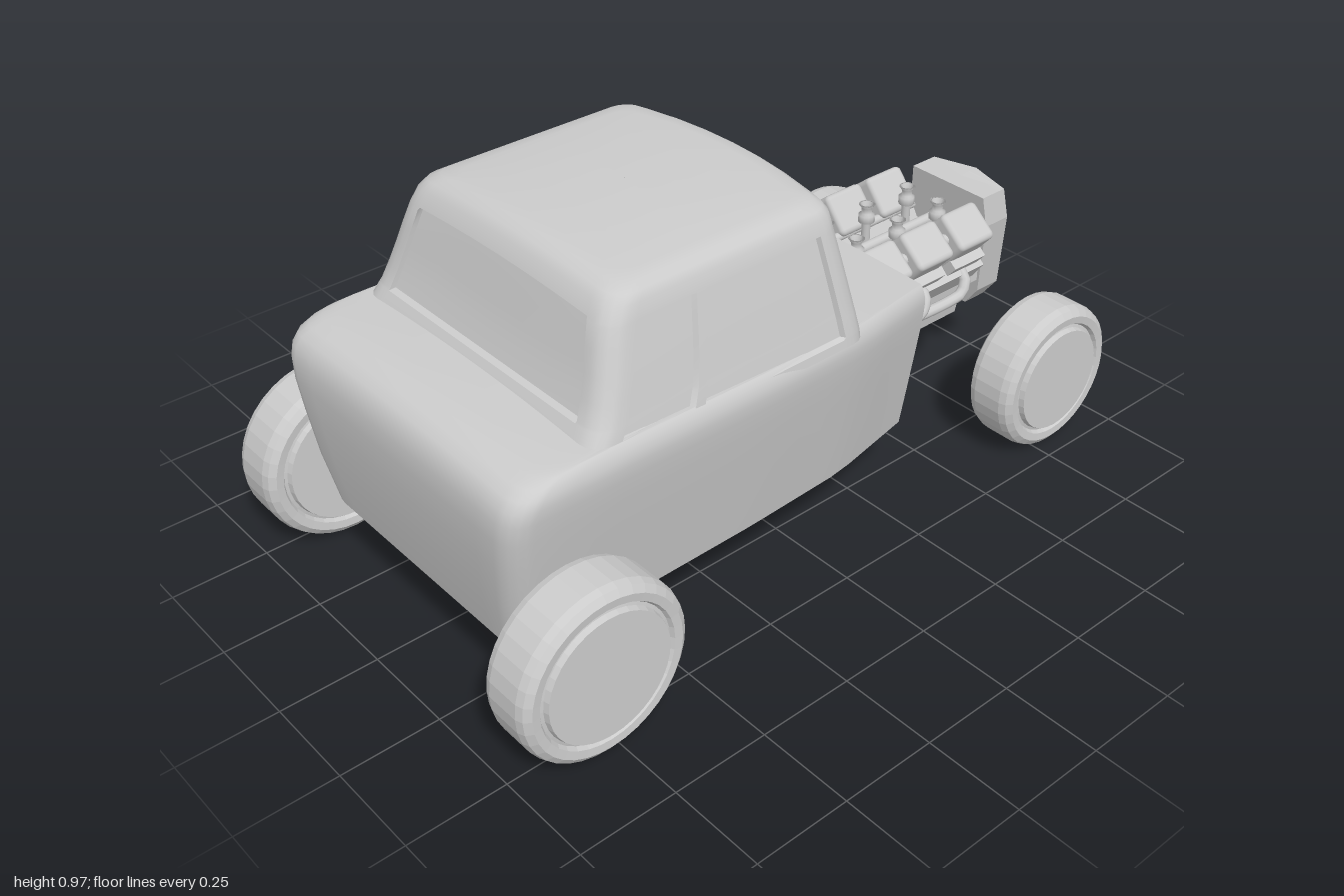
import * as THREE from 'three';
import { toCreasedNormals } from 'three/addons/utils/BufferGeometryUtils.js';
import { RoundedBoxGeometry } from 'three/addons/geometries/RoundedBoxGeometry.js';

const smooth = new THREE.MeshStandardMaterial({ color: 0xcccccc, side: THREE.DoubleSide });
const flat = new THREE.MeshStandardMaterial({ color: 0xcccccc, flatShading: true, side: THREE.DoubleSide });

function add(parent, name, geometry, material = smooth) {
  const mesh = new THREE.Mesh(geometry, material);
  mesh.name = name;
  parent.add(mesh);
  return mesh;
}

// Linear lookup in a table of [key, ...values] rows
function lookup(table, key) {
  let i = 0;
  while (i < table.length - 2 && key > table[i + 1][0]) i++;
  const t = THREE.MathUtils.clamp((key - table[i][0]) / (table[i + 1][0] - table[i][0]), 0, 1);
  return table[i].slice(1).map((v, j) => THREE.MathUtils.lerp(v, table[i + 1][j + 1], t));
}

// Surface through rows of points
function skin(rows, closed, crease = 0.6) {
  const n = rows[0].length, index = [];
  for (let r = 0; r < rows.length - 1; r++) {
    for (let c = 0; c < (closed ? n : n - 1); c++) {
      const a = r * n + c, b = r * n + (c + 1) % n;
      index.push(a, a + n, b, b, a + n, b + n);
    }
  }
  const geometry = new THREE.BufferGeometry();
  geometry.setAttribute('position', new THREE.Float32BufferAttribute(rows.flat(2), 3));
  geometry.setIndex(index);
  return toCreasedNormals(geometry, crease);
}

const NOSE = -0.36, FLOOR = 0.195;
const beltWidth = z => lookup([[-0.36, 0.37], [-0.1, 0.43], [0.2, 0.445], [0.7, 0.452], [0.92, 0.448]], z)[0];
const slopeY = (y, z) => FLOOR + (y - FLOOR) * lookup([[-0.36, 0.905], [-0.1, 0.955], [0.6, 1]], z)[0];

// Lower body: U-shaped rings rising from the sill and rolling over into the trunk deck
function lowerBody() {
  const levels = [ // y, width factor, rear z
    [0.195, 0.845, 0.865], [0.33, 0.9, 0.89], [0.45, 0.947, 0.903], [0.53, 0.978, 0.909], [0.58, 0.994, 0.907],
    [0.61, 1, 0.898], [0.632, 0.995, 0.882], [0.648, 0.98, 0.857], [0.658, 0.965, 0.825], [0.662, 0.955, 0.78],
    [0.662, 0.94, 0.72], [0.662, 0.93, 0.6]];
  const rows = levels.map(([y, k, zr]) => {
    const r = 0.06, w = beltWidth(zr - r) * k, half = [];
    for (let i = 0; i <= 16; i++) {
      const z = THREE.MathUtils.lerp(NOSE, zr - r, i / 16);
      half.push([beltWidth(z) * k, slopeY(y, z), z]);
    }
    for (let i = 1; i <= 5; i++) {
      const a = i / 5 * Math.PI / 2;
      half.push([w - r + r * Math.cos(a), y, zr - r + r * Math.sin(a)]);
    }
    for (let i = 5; i >= 0; i--) half.push([(w - r) * i / 6, y, zr]);
    const crown = y > 0.6 ? 0.01 : 0;
    half.forEach(p => { if (p[2] > zr - r) p[1] += crown * (1 - (p[0] / w) ** 2); });
    return [...half, ...half.slice(0, -1).reverse().map(([x, py, z]) => [-x, py, z])];
  });
  return skin(rows, false, 0.7);
}

// Hood panel in front of the windshield
function hood() {
  const rows = [];
  for (let i = 0; i <= 6; i++) {
    const z = THREE.MathUtils.lerp(NOSE, -0.06, i / 6), row = [];
    for (let j = -6; j <= 6; j++) {
      row.push([beltWidth(z) * 0.94 * j / 6, slopeY(0.662, z) + 0.006 * (1 - (j / 6) ** 2), z]);
    }
    rows.push(row);
  }
  return skin(rows, false);
}

// Cabin: rounded rings from the belt line to the roof, with recessed window panes
function cabin() {
  const keys = [ // y, half width, front z, rear z
    [0.62, 0.437, -0.1, 0.715], [0.66, 0.43, -0.097, 0.69], [0.7, 0.42, -0.09, 0.662], [0.77, 0.405, -0.079, 0.635],
    [0.88, 0.378, -0.062, 0.602], [0.925, 0.366, -0.055, 0.578]];
  const heights = [0.62, 0.64, 0.645, 0.69, 0.695, 0.74, 0.79, 0.84, 0.888, 0.893, 0.925];
  const levels = [...heights.map(y => [y, ...lookup(keys, y)]),
    [0.942, 0.355, -0.045, 0.56], [0.952, 0.335, -0.03, 0.535], [0.954, 0.3, 0, 0.5],
    [0.955, 0.2, 0.09, 0.41], [0.955, 0.1, 0.18, 0.32], [0.955, 0.001, 0.249, 0.251]];
  const across = [-0.94, -0.93, -0.6, -0.3, 0, 0.3, 0.6, 0.93, 0.94];
  const along = [0.03, 0.04, 0.2, 0.4, 0.62, 0.63, 0.67, 0.68, 0.8, 0.95, 0.96];
  const depth = 0.012;
  const rows = levels.map(([y, w, zf, zr]) => {
    const r = Math.min(0.05, w * 0.3, (zr - zf) * 0.3), ring = [];
    const crown = THREE.MathUtils.clamp((y - 0.72) / 0.2, 0, 1) * 0.018;
    const put = (x, z) => ring.push([x, y + crown * (1 - (x / 0.37) ** 2) * (1 - Math.max(0, 0.25 - z)), z]);
    const corner = (sx, sz, start) => {
      for (let i = 0; i <= 4; i++) {
        const a = start + i / 4 * Math.PI / 2;
        put(sx * (w - r) + r * Math.cos(a), (sz > 0 ? zr - r : zf + r) + r * Math.sin(a));
      }
    };
    const endPane = y > 0.692 && y < 0.89, sidePane = y > 0.642 && y < 0.89;
    const side = (s, sign) => {
      const pane = sidePane && ((s > 0.035 && s < 0.625) || (s > 0.675 && s < 0.955));
      put(sign * (w - (pane ? depth : 0)), THREE.MathUtils.lerp(zf + r, zr - r, s));
    };
    const end = (s, sign) => {
      const inset = endPane && Math.abs(s) < 0.935 ? depth : 0;
      put(s * (w - r), sign > 0 ? zr - inset : zf - 0.028 * Math.min(1, w / 0.3) * (1 - s * s) + inset);
    };
    along.forEach(s => side(s, 1));
    corner(1, 1, 0);
    [...across].reverse().forEach(s => end(s, 1));
    corner(-1, 1, Math.PI / 2);
    [...along].reverse().forEach(s => side(s, -1));
    corner(-1, -1, Math.PI);
    across.forEach(s => end(s, -1));
    corner(1, -1, 1.5 * Math.PI);
    return ring;
  });
  return skin(rows, true, 0.6);
}

// Wheel: tyre and dished disc as one turned profile, alike on both faces
function wheel(parent, name, x, y, z, r, h) {
  const half = [[0, h + 0.004], [r - 0.06, h + 0.004], [r - 0.056, h - 0.01], [r - 0.048, h - 0.012],
    [r - 0.042, h - 0.002], [r - 0.022, h], [r - 0.006, h - 0.012], [r, h - 0.03]];
  const profile = [...half.map(([a, b]) => [a, -b]), ...half.reverse()].map(p => new THREE.Vector2(...p));
  const mesh = add(parent, name, new THREE.LatheGeometry(profile, 36).rotateZ(Math.PI / 2), flat);
  mesh.position.set(x, y, z);
}

function engine() {
  const group = new THREE.Group();
  group.name = 'engine';
  // V-shaped block
  const right = [[0.09, 0.235], [0.1, 0.285], [0.12, 0.3], [0.125, 0.35], [0.175, 0.42], [0.09, 0.5], [0.05, 0.43]];
  const outline = [...right, ...right.map(([x, y]) => [-x, y]).reverse()].map(p => new THREE.Vector2(...p));
  const block = new THREE.ExtrudeGeometry(new THREE.Shape(outline), { depth: 0.45, bevelEnabled: false });
  add(group, 'engineBlock', block.translate(0, 0, -0.81), flat);
  add(group, 'frontCover', new THREE.BoxGeometry(0.28, 0.1, 0.03), flat).position.set(0, 0.4, -0.815);
  const rod = (name, x, y, r) => add(group, name, new THREE.CylinderGeometry(r, r, 0.44, 12).rotateX(Math.PI / 2))
    .position.set(x, y, -0.585);
  rod('fuelRail', 0, 0.5, 0.014);
  for (const s of [-1, 1]) {
    rod('headRail', s * 0.15, 0.535, 0.016);
    rod('valleyRail', s * 0.085, 0.5, 0.012);
    for (const z of [-0.435, -0.585, -0.737]) {
      // Cylinder head with its lower jacket
      const head = add(group, 'cylinderHead', new RoundedBoxGeometry(0.11, 0.115, 0.127, 2, 0.015));
      head.position.set(s * 0.138, 0.523, z);
      head.rotation.z = -s * 0.7;
      const jacket = add(group, 'cylinderJacket', new THREE.BoxGeometry(0.085, 0.1, 0.115), flat);
      jacket.position.set(s * 0.125, 0.45, z);
      jacket.rotation.z = -s * 0.7;
      // Intake stack
      const stack = [[0.012, 0.42], [0.012, 0.53], [0.022, 0.535], [0.022, 0.555], [0.014, 0.56], [0.014, 0.575],
        [0.022, 0.585], [0.016, 0.585], [0.01, 0.55]].map(p => new THREE.Vector2(...p));
      add(group, 'intakeStack', new THREE.LatheGeometry(stack, 12)).position.set(s * 0.055, 0, z - 0.01);
      // Exhaust pipe sweeping back to the body
      const path = new THREE.CatmullRomCurve3([[0.14, 0.43, z], [0.175, 0.41, z], [0.185, 0.375, z + 0.02],
        [0.18, 0.362, z + 0.06], [0.16, 0.36, -0.34]].map(([px, py, pz]) => new THREE.Vector3(s * px, py, pz)));
      add(group, 'exhaustPipe', new THREE.TubeGeometry(path, 20, 0.015, 10));
    }
  }
  return group;
}

// Radiator shell: prow-shaped plan tapering toward the bottom
function radiator() {
  const plan = (y, w, back, front) => [[-w, y, back], [w, y, back], [w, y, front], [0, y + 0.004, front - 0.03], [-w, y, front]];
  return skin([plan(0.585, 0, -0.88, -0.9), plan(0.585, 0.125, -0.845, -0.928), plan(0.5, 0.135, -0.855, -0.94),
    plan(0.28, 0.105, -0.88, -0.96), plan(0.22, 0.06, -0.888, -0.96), plan(0.22, 0, -0.9, -0.94)], true, 0.1);
}

export function createModel() {
  const car = new THREE.Group();
  car.name = 'car';
  add(car, 'lowerBody', lowerBody());
  add(car, 'hood', hood());
  add(car, 'cabin', cabin());
  car.add(engine());
  add(car, 'radiatorShell', radiator());
  for (const s of [-1, 1]) {
    wheel(car, 'trunkEndWheel', s * 0.505, 0.225, 0.78, 0.22, 0.074);
    wheel(car, 'engineEndWheel', s * 0.393, 0.205, -0.8, 0.2, 0.07);
  }
  return car;
}
